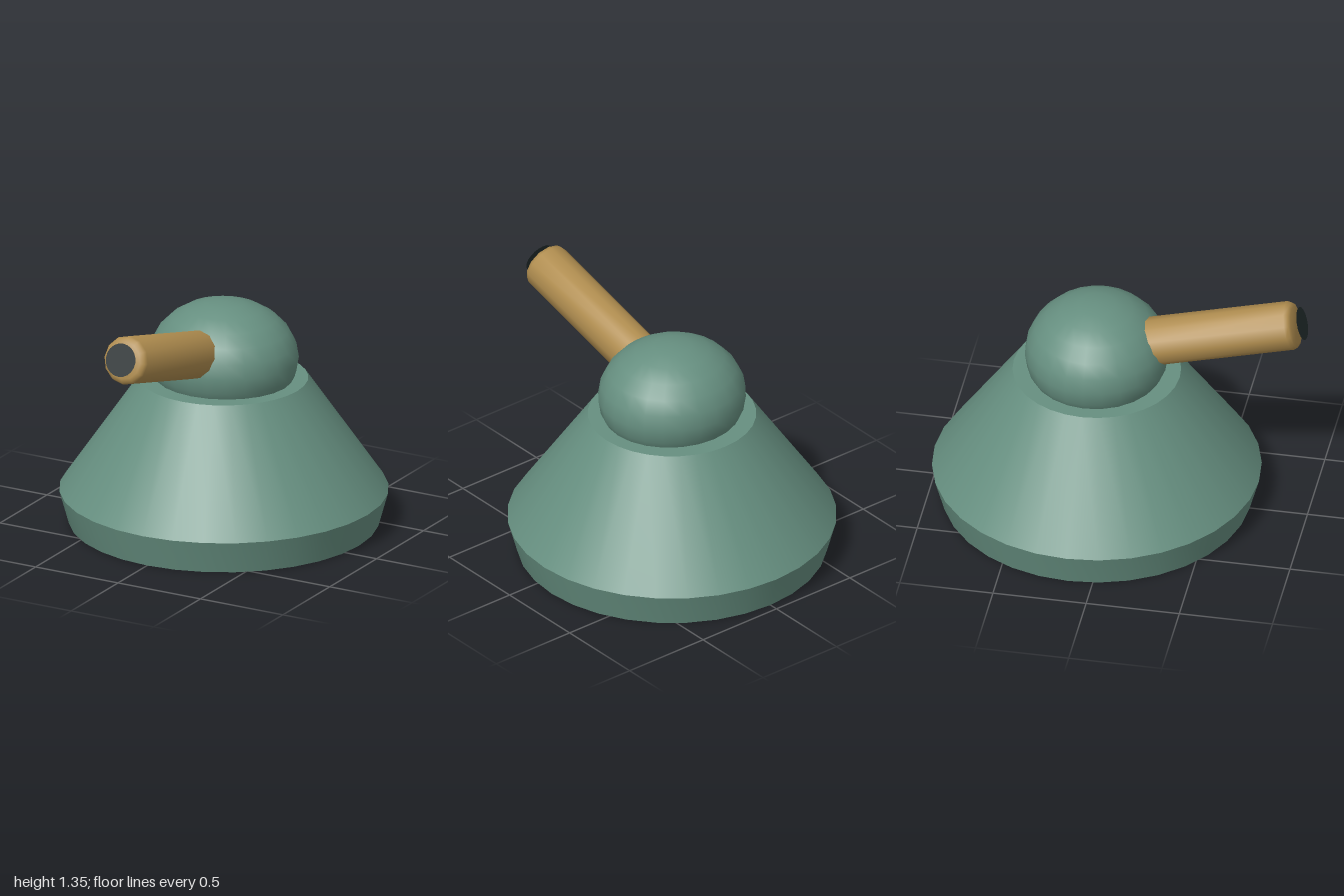
import * as THREE from 'three';
import { toCreasedNormals } from 'three/addons/utils/BufferGeometryUtils.js';

const material = (name, color, extra = {}) => {
  const m = new THREE.MeshStandardMaterial({ color, ...extra });
  m.name = name;
  return m;
};

// Solid of revolution with sharp edges kept above the crease angle
const turned = (profile, sides, crease) =>
  toCreasedNormals(
    new THREE.LatheGeometry(profile.map(([r, y]) => new THREE.Vector2(r, y)), sides),
    crease
  );

export function createModel() {
  const green = material('sea green', 0x668f80);
  const brass = material('brass', 0xb08d4f);
  const dark = material('bore black', 0x232d2e, { side: THREE.DoubleSide });

  const model = new THREE.Group();
  model.name = 'turret';
  const add = (name, geometry, mat, x, y, z) => {
    const mesh = new THREE.Mesh(geometry, mat);
    mesh.name = name;
    mesh.position.set(x, y, z);
    model.add(mesh);
    return mesh;
  };
  const centreZ = -0.13;

  // Conical pedestal with an undercut skirt
  const baseProfile = [[0, 0], [0.82, 0], [0.87, 0.18], [0.445, 0.8], [0, 0.8]];
  add('base', turned(baseProfile, 32, 0.5), green, 0, 0, centreZ);

  // Flattened dome sunk into the pedestal top
  const dome = add('dome', new THREE.SphereGeometry(1, 24, 12), green, 0, 0.917, centreZ);
  dome.scale.set(0.4, 0.31, 0.38);

  // Barrel raised from horizontal, origin at the muzzle
  const barrelProfile = [[0, -0.92], [0.13, -0.92], [0.13, -0.03], [0.121, -0.009], [0.1, 0], [0, 0]];
  const barrel = add('barrel', turned(barrelProfile, 12, 0.9), brass, 0, 1.228, 0.94);
  barrel.rotation.x = Math.PI / 2 - 0.265;

  // Dark bore disc floating just ahead of the muzzle
  const bore = add('bore', new THREE.CircleGeometry(0.089, 20), dark, 0, 1.24, 0.972);
  bore.rotation.x = -0.31;

  return model;
}
